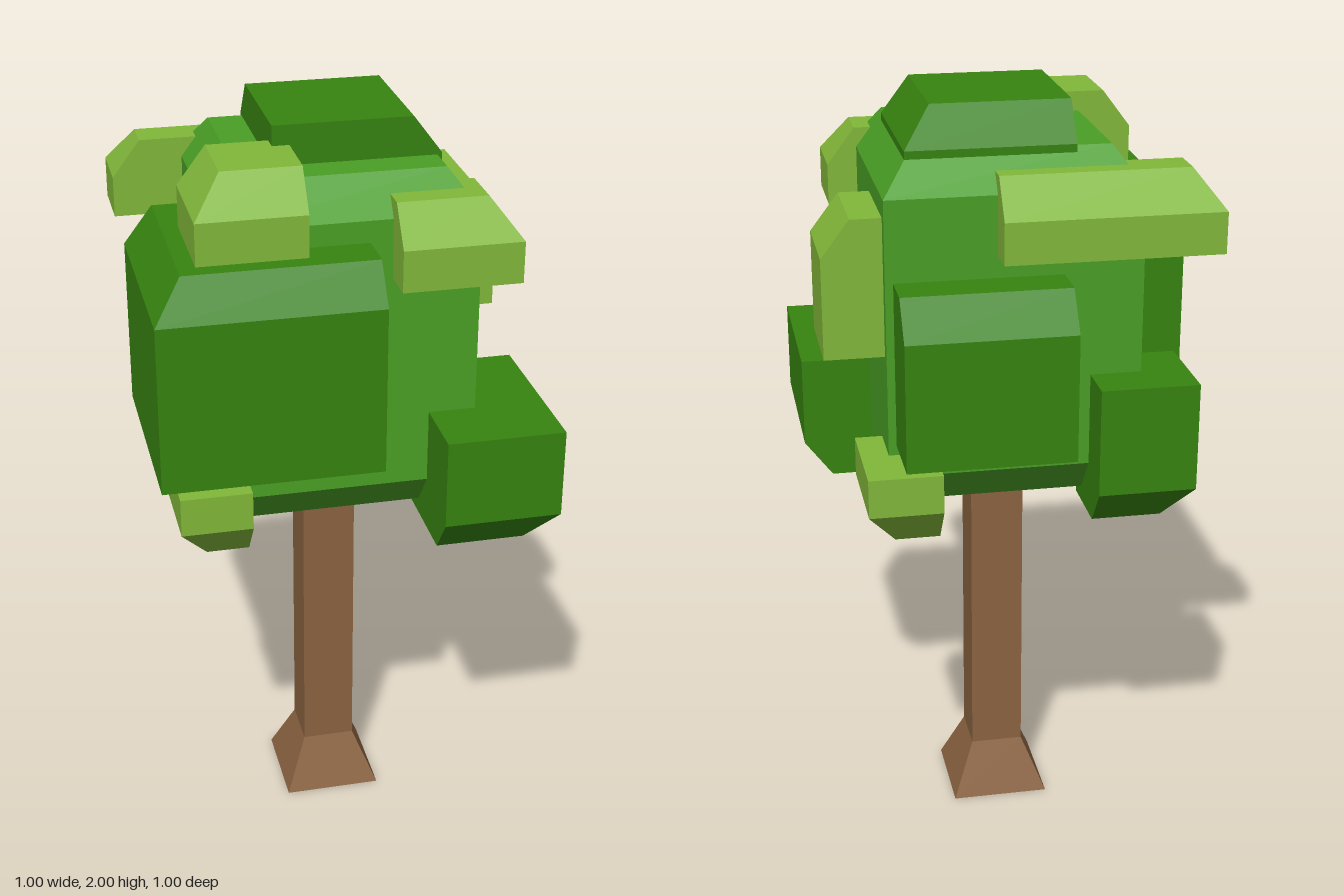
import * as THREE from 'three';

const paint = (name, color) => {
  const m = new THREE.MeshStandardMaterial({ color });
  m.name = name;
  return m;
};

// Box spanning the given x, y and z ranges. The listed sides ('-x', '+x', '-z', '+z')
// slope inward over bevel height h by inset d, at the top and/or bottom end.
function block(name, material, [x0, x1], [y0, y1], [z0, z1], sides = [], ends = [], d = 0.072, h = 0.095) {
  const levels = [{ y: y0, inset: ends.includes('bottom') ? d : 0 }];
  if (ends.includes('bottom')) levels.push({ y: y0 + h, inset: 0 });
  if (ends.includes('top')) levels.push({ y: y1 - h, inset: 0 });
  levels.push({ y: y1, inset: ends.includes('top') ? d : 0 });

  const n = levels.length - 1;
  const geometry = new THREE.BoxGeometry(1, 1, 1, 1, n, 1).toNonIndexed();
  const p = geometry.attributes.position;
  for (let i = 0; i < p.count; i++) {
    const { y, inset } = levels[Math.round((p.getY(i) + 0.5) * n)];
    const slope = (side) => (sides.includes(side) ? inset : 0);
    const x = p.getX(i) < 0 ? x0 + slope('-x') : x1 - slope('+x');
    const z = p.getZ(i) < 0 ? z0 + slope('-z') : z1 - slope('+z');
    p.setXYZ(i, x, y, z);
  }
  geometry.computeVertexNormals();
  const mesh = new THREE.Mesh(geometry, material);
  mesh.name = name;
  return mesh;
}

export function createModel() {
  const bark = paint('bark brown', 0x8b6341);
  const mid = paint('leaf green', 0x4a9f25);
  const dark = paint('deep green', 0x378410);
  const lime = paint('lime green', 0x82b83a);
  const all = ['-x', '+x', '-z', '+z'];
  const top = ['top'];
  const bottom = ['bottom'];

  const tree = new THREE.Group();
  tree.name = 'tree';

  // Trunk with flared foot
  tree.add(
    block('trunkFoot', bark, [-0.13, 0.13], [0, 0.145], [-0.13, 0.13], all, top, 0.06, 0.145),
    block('trunk', bark, [-0.07, 0.07], [0.145, 1.02], [-0.07, 0.07]),
  );

  // Main crown and its cap
  tree.add(
    block('crown', mid, [-0.32, 0.32], [1, 1.9], [-0.32, 0.32], all, ['top', 'bottom']),
    block('crownCap', dark, [-0.16, 0.26], [1.885, 2], [-0.26, 0.16], ['+x', '-z'], top),
  );

  // Deep green leaf clumps
  tree.add(
    block('frontRightClump', dark, [-0.5, 0.045], [1.23, 1.75], [-0.045, 0.5], ['-x', '+z'], top),
    block('backClump', dark, [-0.12, 0.3], [1.18, 1.6], [-0.5, -0.2], ['-z'], top),
    block('frontLeftLowClump', dark, [0.2, 0.5], [0.96, 1.285], [0.037, 0.5], ['+x', '+z'], bottom),
    block('backRightLowClump', dark, [-0.44, -0.19], [0.96, 1.335], [-0.44, -0.19], ['-x', '-z'], bottom),
  );

  // Lime leaf clumps
  tree.add(
    block('frontRightTopTuft', lime, [-0.385, -0.117], [1.74, 1.95], [0.115, 0.383], ['-x', '+z'], top),
    block('frontLeftTuft', lime, [0.1, 0.397], [1.655, 1.855], [0.22, 0.417], ['+x', '+z'], top),
    block('backRightTuft', lime, [-0.5, 0.045], [1.655, 1.855], [-0.405, -0.24], ['-x', '-z'], top),
    block('leftTuft', lime, [0.25, 0.47], [1.405, 1.755], [-0.29, -0.04], ['+x'], top),
    block('frontRightLowTuft', lime, [-0.445, -0.265], [0.96, 1.155], [0.13, 0.405], ['-x', '+z'], bottom),
    block('backLeftLowTuft', lime, [0.205, 0.39], [0.96, 1.155], [-0.468, -0.19], ['+x', '-z'], bottom),
  );

  return tree;
}
